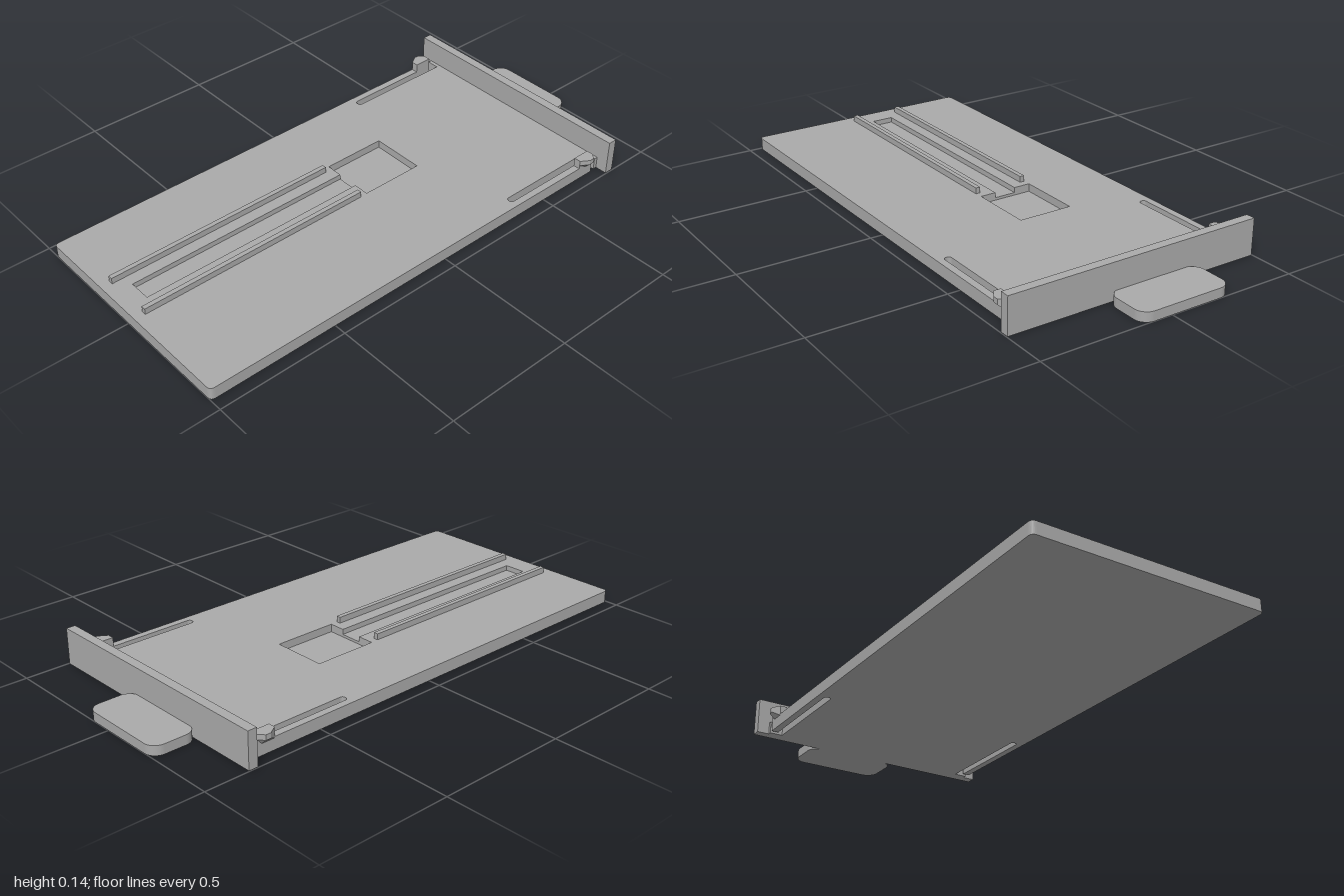
import * as THREE from 'three';

const THICK = 0.047;

export function createModel() {
  const group = new THREE.Group();
  const grey = new THREE.MeshStandardMaterial({ color: 0xaaaaaa });
  grey.name = 'plain grey';

  const add = (name, geometry) => {
    const mesh = new THREE.Mesh(geometry, grey);
    mesh.name = name;
    group.add(mesh);
    return mesh;
  };
  // box given by its limits on each axis
  const box = (name, x0, x1, y0, y1, z0, z1) =>
    add(name, new THREE.BoxGeometry(x1 - x0, y1 - y0, z1 - z0))
      .position.set((x0 + x1) / 2, (y0 + y1) / 2, (z0 + z1) / 2);
  // plan outline (x, -z) raised upward from y0
  const raise = (shape, y0, height, steps = 1) =>
    new THREE.ExtrudeGeometry(shape, { depth: height, steps, bevelEnabled: false, curveSegments: 8 })
      .rotateX(-Math.PI / 2).translate(0, y0, 0);

  // sliding plate with two flexible side arms cut free by slots
  const plate = new THREE.Shape();
  plate.moveTo(-0.435, -1);
  plate.lineTo(0.435, -1);
  plate.quadraticCurveTo(0.453, -1, 0.453, -0.98);
  plate.lineTo(0.453, 0.76);
  plate.lineTo(0.426, 0.76);
  plate.lineTo(0.426, 0.368);
  plate.quadraticCurveTo(0.426, 0.355, 0.413, 0.355);
  plate.quadraticCurveTo(0.4, 0.355, 0.4, 0.368);
  plate.lineTo(0.4, 0.78);
  plate.lineTo(0.45, 0.78);
  plate.lineTo(0.45, 0.795);
  plate.lineTo(-0.45, 0.795);
  plate.lineTo(-0.45, 0.78);
  plate.lineTo(-0.4, 0.78);
  plate.lineTo(-0.4, 0.368);
  plate.quadraticCurveTo(-0.4, 0.355, -0.413, 0.355);
  plate.quadraticCurveTo(-0.426, 0.355, -0.426, 0.368);
  plate.lineTo(-0.426, 0.76);
  plate.lineTo(-0.453, 0.76);
  plate.lineTo(-0.453, -0.98);
  plate.quadraticCurveTo(-0.453, -1, -0.435, -1);

  // pocket joined to a long groove
  const recess = [[-0.17, 0.25], [0.042, 0.25], [0.042, 0], [-0.02, 0],
    [-0.02, -0.91], [-0.105, -0.91], [-0.105, 0], [-0.17, 0]];
  plate.holes.push(new THREE.Path(recess.map(([x, y]) => new THREE.Vector2(x, y))));
  add('plate', raise(plate, 0, THICK));
  box('pocketFloor', -0.17, 0.042, 0, 0.017, -0.25, 0);
  box('grooveFloor', -0.105, -0.02, 0, 0.027, 0, 0.91);

  // guide rails beside the groove
  for (const x of [-0.16, 0.036]) box('guideRail', x - 0.009, x + 0.009, THICK, 0.07, 0.03, 0.96);

  // end wall
  box('endWall', -0.497, 0.497, 0, 0.137, -0.83, -0.795);

  // pull tab with rounded corners
  const [l, r, f, b, c] = [-0.243, 0.117, 0.828, 1, 0.045];
  const tab = new THREE.Shape();
  tab.absarc(r - c, f + c, c, -Math.PI / 2, 0);
  tab.absarc(r - c, b - c, c, 0, Math.PI / 2);
  tab.absarc(l + c, b - c, c, Math.PI / 2, Math.PI);
  tab.absarc(l + c, f + c, c, Math.PI, Math.PI * 1.5);
  tab.closePath();
  add('pullTab', raise(tab, 0, 0.036));

  // snap hooks on the arm tips, undercut toward the arm
  for (const side of [-1, 1]) {
    const outline = [[0.426, 0.69], [0.453, 0.69], [0.474, 0.722], [0.474, 0.742], [0.453, 0.76], [0.426, 0.76]];
    const hook = raise(new THREE.Shape(outline.map(([x, y]) => new THREE.Vector2(side * x, y))), 0.042, 0.039, 2);
    const p = hook.attributes.position;
    for (let i = 0; i < p.count; i++) {
      if (p.getY(i) < 0.045 && Math.abs(p.getX(i)) > 0.453) p.setX(i, side * 0.453);
    }
    hook.computeVertexNormals();
    add(side > 0 ? 'leftSnapHook' : 'rightSnapHook', hook);
  }
  return group;
}
